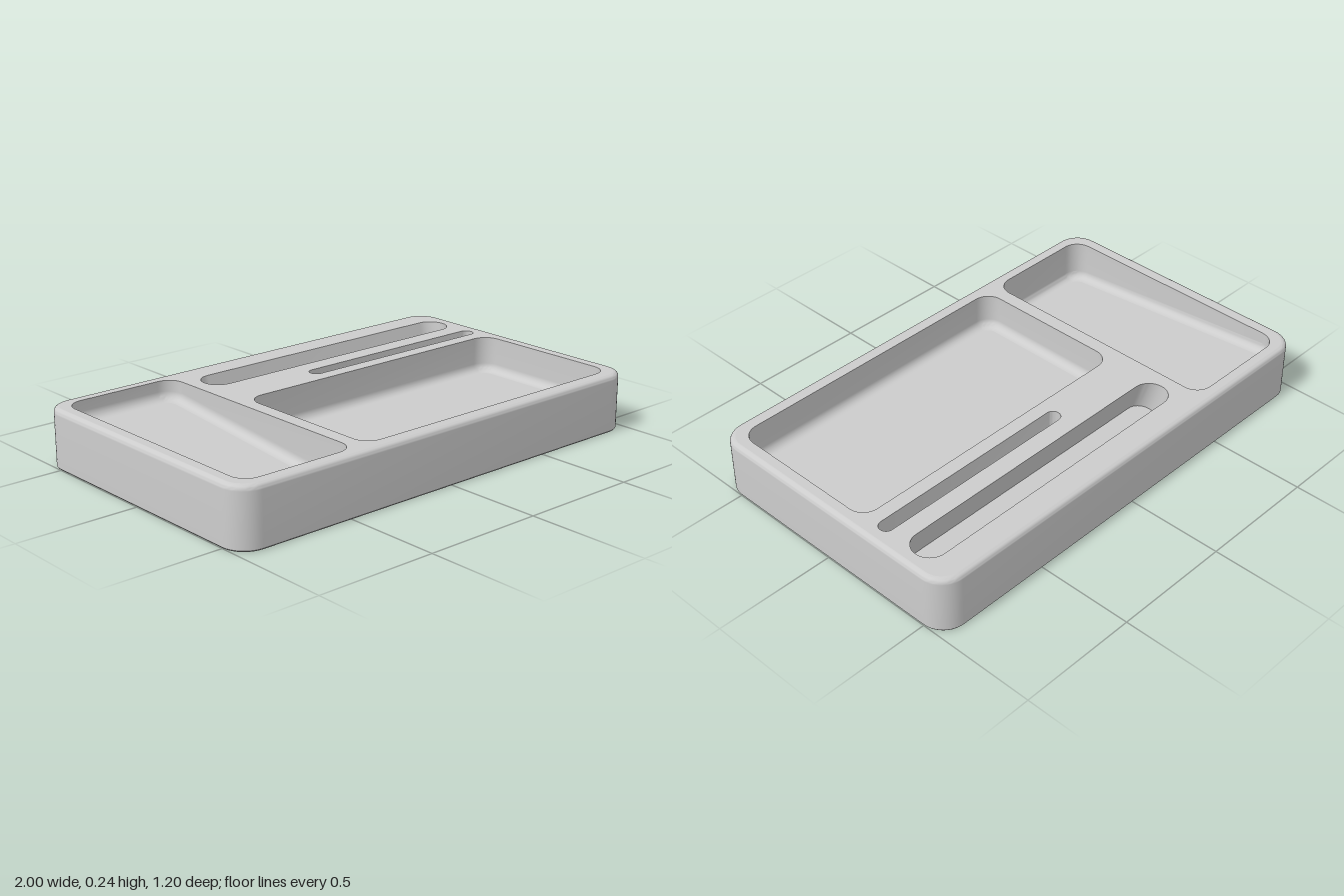
import * as THREE from 'three';
import { toCreasedNormals } from 'three/addons/utils/BufferGeometryUtils.js';

const TOP = 0.24;
const TILT = THREE.MathUtils.degToRad(15);

// Rounded rectangle outline in (x, z), inset by d
function outline([x0, x1, z0, z1, r], d = 0) {
  const pts = [], n = 10;
  const corners = [[x1 - r, z1 - r], [x0 + r, z1 - r], [x0 + r, z0 + r], [x1 - r, z0 + r]];
  corners.forEach(([cx, cz], k) => {
    for (let i = 0; i <= n; i++) {
      const a = (k + i / n) * Math.PI / 2;
      pts.push(new THREE.Vector2(cx + (r - d) * Math.cos(a), cz + (r - d) * Math.sin(a)));
    }
  });
  return pts;
}

// Outline lifted to a height, which may depend on z
const ring = (rect, d, height) =>
  outline(rect, d).map(p => new THREE.Vector3(p.x, height(p.y), p.y));

function geometry(points, index) {
  const g = new THREE.BufferGeometry().setFromPoints(points);
  g.setIndex(index);
  return g;
}

// Wall joining successive rings
function skin(rings) {
  const n = rings[0].length, index = [];
  for (let j = 0; j < rings.length - 1; j++) {
    for (let i = 0; i < n; i++) {
      const k = (i + 1) % n, a = j * n, b = a + n;
      index.push(a + i, b + i, a + k, a + k, b + i, b + k);
    }
  }
  return toCreasedNormals(geometry(rings.flat(), index), 0.6);
}

// Flat face filling a ring
function cap(points, up) {
  const index = [];
  for (let i = 1; i < points.length - 1; i++) {
    if (up) index.push(0, i + 1, i);
    else index.push(0, i, i + 1);
  }
  const g = geometry(points, index);
  g.computeVertexNormals();
  return g;
}

export function createModel() {
  const model = new THREE.Group();
  const grey = new THREE.MeshStandardMaterial({ color: 0xcccccc });
  grey.name = 'grey';
  const add = (parent, name, geo) => {
    const mesh = new THREE.Mesh(geo, grey);
    mesh.name = name;
    parent.add(mesh);
  };
  const group = name => {
    const g = new THREE.Group();
    g.name = name;
    model.add(g);
    return g;
  };

  // Each rectangle: x0, x1, z0, z1, corner radius
  const body = [-1, 1, -0.6, 0.6, 0.1];
  const sideTray = [-0.94, -0.44, -0.545, 0.545, 0.07];
  const mainTray = [-0.38, 0.94, -0.14, 0.54, 0.07];
  const leaningSlot = [-0.38, 0.94, -0.48, -0.338, 0.0705];
  const penSlot = [0.02, 0.94, -0.26, -0.2, 0.0295];

  // Outer shell with a small bottom chamfer and a rounded top edge
  const shell = group('body');
  const edge = 0.022, steps = 6;
  const rings = [
    ring(body, 0.004, () => 0),
    ring(body, 0, () => 0.005),
    ring(body, 0, () => TOP - edge - 0.002), // keeps the wall shading flat
  ];
  for (let i = 0; i <= steps; i++) {
    const a = i / steps * Math.PI / 2;
    rings.push(ring(body, edge * (1 - Math.cos(a)), () => TOP - edge * (1 - Math.sin(a))));
  }
  add(shell, 'outerWall', skin(rings));
  add(shell, 'underside', cap(rings[0], false));

  // Top face with the pocket openings
  const flip = pts => pts.map(p => new THREE.Vector2(p.x, -p.y));
  const face = new THREE.Shape(flip(outline(body, edge)));
  for (const r of [sideTray, mainTray, leaningSlot, penSlot]) {
    face.holes.push(new THREE.Path(flip(outline(r))));
  }
  add(shell, 'topFace', new THREE.ShapeGeometry(face).rotateX(-Math.PI / 2).translate(0, TOP, 0));

  // Pocket with upright walls and a filleted floor
  function pocket(name, rect, fillet, floor) {
    const g = group(name);
    const walls = [ring(rect, 0, () => TOP), ring(rect, 0, z => floor(z) + fillet + 0.002)];
    for (let i = 0; i <= steps; i++) {
      const a = i / steps * Math.PI / 2;
      walls.push(ring(rect, fillet * (1 - Math.cos(a)), z => floor(z) + fillet * (1 - Math.sin(a))));
    }
    add(g, name + 'Wall', skin(walls));
    add(g, name + 'Floor', cap(walls[walls.length - 1], true));
  }
  pocket('sideTray', sideTray, 0.035, z => 0.112 - 0.09 * z); // floor ramps down to the front
  pocket('mainTray', mainTray, 0.035, () => 0.09);
  pocket('penSlot', penSlot, 0.01, () => 0.15);

  // Slot leaning backwards, its floor square to its walls
  const slot = group('leaningSlot');
  const mouth = ring(leaningSlot, 0, () => TOP);
  const bottom = mouth.map(p => {
    const t = 0.147 - (p.z + 0.409) * Math.sin(TILT);
    return new THREE.Vector3(p.x, TOP - t * Math.cos(TILT), p.z + t * Math.sin(TILT));
  });
  add(slot, 'leaningSlotWall', skin([mouth, bottom]));
  add(slot, 'leaningSlotFloor', cap(bottom, true));

  return model;
}
